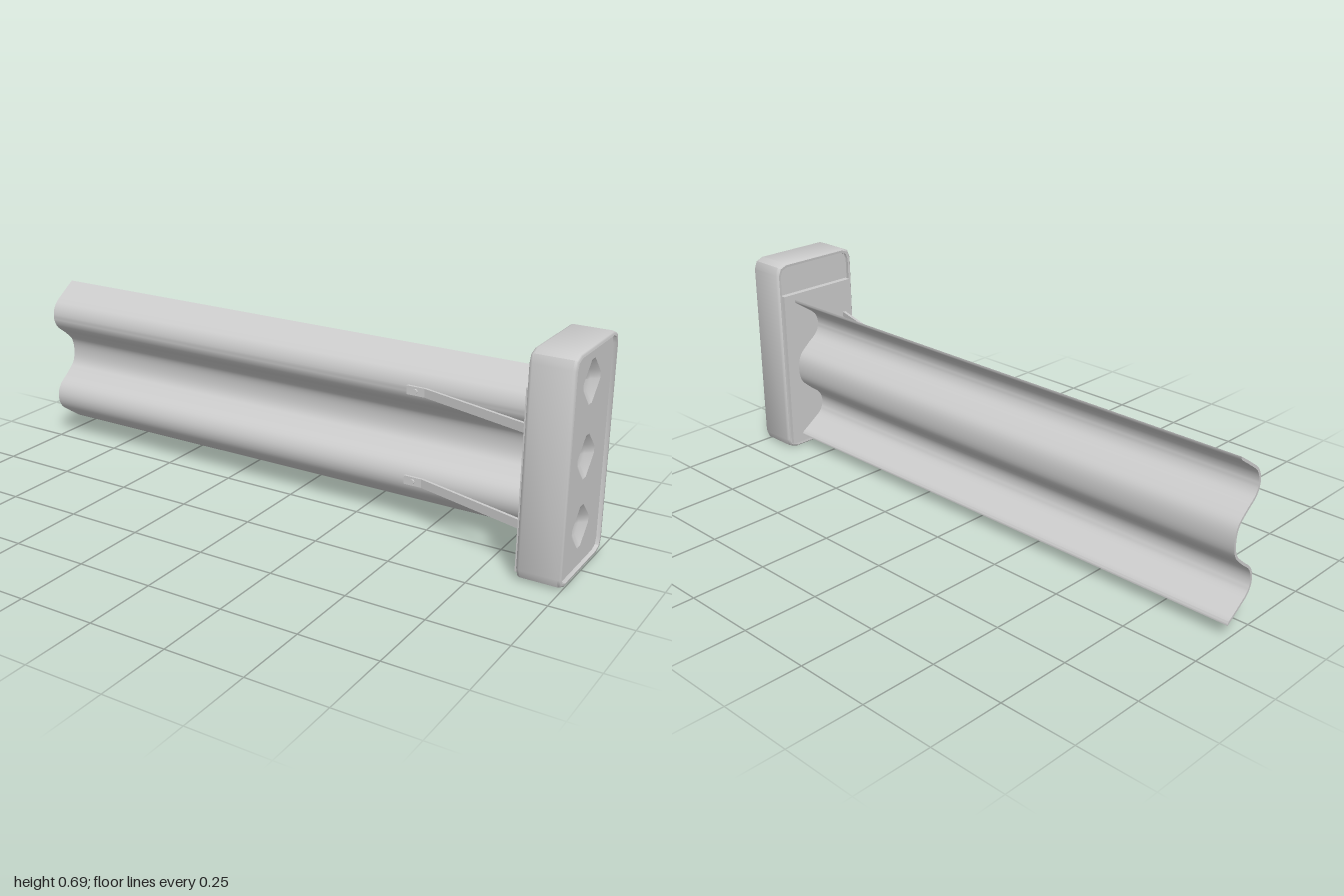
import * as THREE from 'three';
import { toCreasedNormals } from 'three/addons/utils/BufferGeometryUtils.js';

const material = new THREE.MeshStandardMaterial({ color: 0xcccccc, side: THREE.DoubleSide });
const V2 = (x, y) => new THREE.Vector2(x, y);

function part(name, geometry, parent, crease = 0.6) {
  const mesh = new THREE.Mesh(toCreasedNormals(geometry, crease), material);
  mesh.name = name;
  parent.add(mesh);
  return mesh;
}

// Skin between matching loops of points [x, y, z]
function loft(loops) {
  const n = loops[0].length, index = [];
  for (let i = 0; i < loops.length - 1; i++) {
    for (let j = 0; j < n; j++) {
      const a = i * n + j, b = i * n + (j + 1) % n;
      index.push(a, b, b + n, a, b + n, a + n);
    }
  }
  const g = new THREE.BufferGeometry();
  g.setAttribute('position', new THREE.Float32BufferAttribute(loops.flat(2), 3));
  g.setIndex(index);
  return g.toNonIndexed();
}

// Rectangle with two-step corners, counterclockwise, as (u = -z, v = y)
function roundedLoop(inset) {
  const hu = 0.165 - inset, hv = 0.347 - inset, k = 1 - inset * 15;
  const q = [[0, 0.037], [0.01, 0.011], [0.037, 0]].map(([a, b]) => [hu - a * k, hv - b * k]);
  const r = [...q].reverse();
  return [
    ...q,
    ...r.map(([u, v]) => [-u, v]),
    ...q.map(([u, v]) => [-u, -v]),
    ...r.map(([u, v]) => [u, -v]),
  ].map(([u, v]) => V2(u, v + 0.347));
}

// Diamond with clipped tips
function diamondLoop(y, s) {
  return [[0.066, -0.011], [0.066, 0.011], [0.012, 0.066], [-0.012, 0.066],
    [-0.066, 0.011], [-0.066, -0.011], [-0.012, -0.066], [0.012, -0.066]]
    .map(([u, v]) => V2(u * s, y + v * s));
}

const at = (points, x) => points.map((p) => [x, p.y, -p.x]);

// Corrugated sheet with two forward ridges
function railGeometry() {
  const half = [[0.56, -0.105], [0.525, -0.053], [0.493, -0.013], [0.452, 0],
    [0.412, -0.014], [0.378, -0.055], [0.345, -0.088], [0.302, -0.097]];
  const mirrored = half.slice(0, -1).reverse().map(([y, z]) => [0.604 - y, z]);
  const curve = new THREE.SplineCurve([...half, ...mirrored].map(([y, z]) => V2(-z, y)));
  const front = [], back = [];
  for (let i = 0; i <= 64; i++) {
    const p = curve.getPoint(i / 64), t = curve.getTangent(i / 64);
    front.push(p);
    back.push(V2(Math.min(p.x - t.y * 0.008, 0.105), p.y + t.x * 0.008));
  }
  const g = new THREE.ExtrudeGeometry(new THREE.Shape([...front, ...back.reverse()]),
    { depth: 1.855, bevelEnabled: false });
  return g.rotateY(Math.PI / 2).translate(-1, 0, 0);
}

// Bent flat strap running from a ridge out to the end plate
function strapGeometry(y) {
  const s = new THREE.Shape([
    V2(0.42, 0), V2(0.482, 0), V2(0.858, 0.11), V2(0.858, 0.121),
    V2(0.48, 0.009), V2(0.42, 0.009),
  ]);
  const g = new THREE.ExtrudeGeometry(s, { depth: 0.028, bevelEnabled: false });
  return g.rotateX(Math.PI / 2).translate(0, y + 0.014, 0);
}

export function createModel() {
  const model = new THREE.Group();
  model.name = 'guardRailEnd';

  part('rail', railGeometry(), model, 0.7);

  for (const y of [0.449, 0.155]) {
    const strap = new THREE.Group();
    strap.name = 'strap';
    model.add(strap);
    part('strapBar', strapGeometry(y), strap, 0.2);
    const bolt = new THREE.CylinderGeometry(0.008, 0.008, 0.008, 8).rotateX(Math.PI / 2);
    part('strapBolt', bolt, strap).position.set(0.45, y, 0.011);
  }

  // End plate behind the terminal
  part('endPlate', new THREE.BoxGeometry(0.022, 0.56, 0.295), model).position.set(0.866, 0.3, -0.002);

  // Terminal housing with a raised rim on both faces
  const terminal = new THREE.Group();
  terminal.name = 'terminal';
  model.add(terminal);
  const rings = [[0.876, 0.015], [0.866, 0.014], [0.865, 0.006], [0.869, 0.002], [0.875, 0],
    [0.99, 0], [0.996, 0.002], [1, 0.006], [1, 0.012], [0.988, 0.013]];
  part('housing', loft(rings.map(([x, inset]) => at(roundedLoop(inset), x))), terminal, 0.8);

  const backPanel = new THREE.ShapeGeometry(new THREE.Shape(roundedLoop(0.015)));
  part('backPanel', backPanel.rotateY(-Math.PI / 2).translate(0.876, 0, 0), terminal);

  // Face panel with three sunken diamonds
  const face = new THREE.Shape(roundedLoop(0.013));
  for (const y of [0.58, 0.355, 0.138]) {
    face.holes.push(new THREE.Path(diamondLoop(y, 1).reverse()));
    const dish = [[1, 0.988], [0.5, 0.97], [0.001, 0.963]];
    part('diamondDish', loft(dish.map(([s, x]) => at(diamondLoop(y, s), x))), terminal, 0.5);
  }
  part('facePanel', new THREE.ShapeGeometry(face).rotateY(Math.PI / 2).translate(0.988, 0, 0), terminal);

  return model;
}
